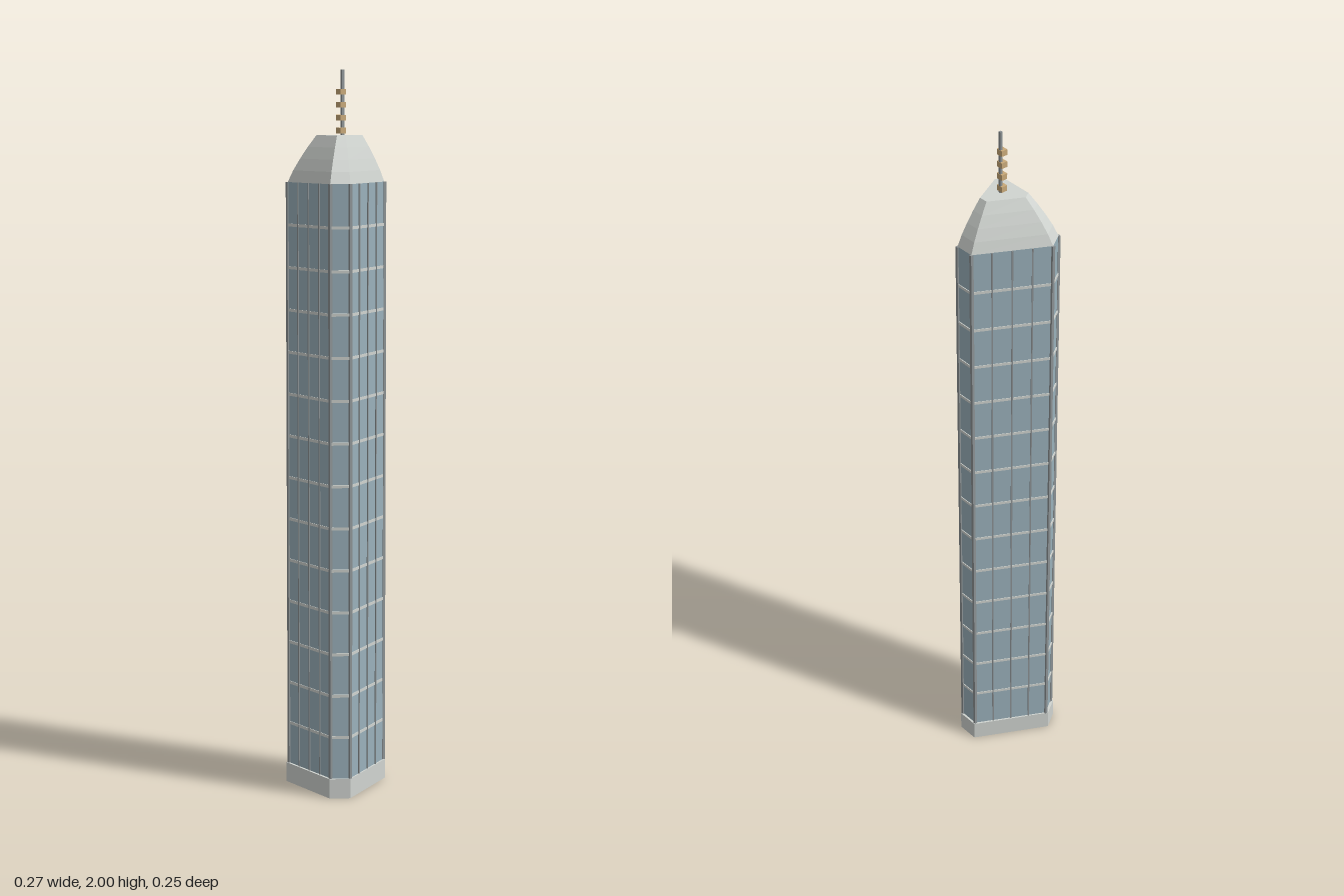
import * as THREE from 'three';

const mat = (name, color, flatShading = true) => new THREE.MeshStandardMaterial({ name, color, flatShading });

// Half-plan mirrored into a triangle with clipped corners, counter-clockwise from above
const plan = (half) => [[-half[0][0], half[0][1]], ...half, ...half.slice(1).reverse().map(([x, z]) => [-x, z])];
const scaled = (pts, s) => pts.map(([x, z]) => [x * s, z * s]);

// Closed solid through rings of { y, pts }
function loft(rings) {
  const pos = [];
  const tri = (...v) => v.forEach((p) => pos.push(...p));
  const at = (r, i) => { const [x, z] = r.pts[i % r.pts.length]; return [x, r.y, z]; };
  const n = rings[0].pts.length, last = rings[rings.length - 1];
  for (let i = 0; i < n; i++) {
    for (let k = 0; k < rings.length - 1; k++) {
      const a = at(rings[k], i), b = at(rings[k], i + 1), c = at(rings[k + 1], i + 1), d = at(rings[k + 1], i);
      tri(a, b, c); tri(a, c, d);
    }
    tri([0, last.y, 0], at(last, i), at(last, i + 1));
    tri([0, rings[0].y, 0], at(rings[0], i + 1), at(rings[0], i));
  }
  const g = new THREE.BufferGeometry();
  g.setAttribute('position', new THREE.Float32BufferAttribute(pos, 3));
  g.computeVertexNormals();
  return g;
}

export function createModel() {
  const root = new THREE.Group();
  root.name = 'skyscraper';
  const stone = mat('pale stone', 0xd0d4d0);
  const glass = mat('blue glass', 0x9ab1bb);
  const frame = mat('grey metal', 0x8c9294);
  const brass = mat('tan brass', 0xc8a878);
  const add = (name, geo, material, x = 0, y = 0, z = 0, ry = 0) => {
    const m = new THREE.Mesh(geo, material);
    m.name = name;
    m.position.set(x, y, z);
    m.rotation.y = ry;
    root.add(m);
    return m;
  };

  const basePlan = plan([[0.105, 0.123], [0.136, 0.075], [0.031, -0.125]]);
  const towerPlan = plan([[0.1, 0.116], [0.13, 0.071], [0.028, -0.119]]);
  const roofPlan = plan([[0.048, 0.056], [0.061, 0.036], [0.013, -0.055]]);
  const y0 = 0.055, y1 = 1.695, h = y1 - y0;

  // Plinth and glazed shaft
  add('plinth', loft([{ y: 0, pts: basePlan }, { y: y0, pts: basePlan }]), stone);
  add('glassShaft', loft([{ y: y0, pts: towerPlan }, { y: y1, pts: towerPlan }]), glass);

  // Floor bands
  const bandPlan = scaled(towerPlan, 1.018);
  const band = loft([{ y: -0.004, pts: bandPlan }, { y: 0.004, pts: bandPlan }]);
  for (let i = 1; i < 14; i++) add('floorBand', band, stone, 0, y0 + (h * i) / 14, 0);

  // Corner posts, and mullions dividing each wide side into four bays
  const post = new THREE.BoxGeometry(0.008, h, 0.008);
  const mullion = new THREE.BoxGeometry(0.004, h, 0.006);
  towerPlan.forEach(([x, z], i) => {
    const [bx, bz] = towerPlan[(i + 1) % 6];
    add('cornerPost', post, frame, x, y0 + h / 2, z);
    if (Math.hypot(bx - x, bz - z) < 0.1) return;
    for (const t of [0.25, 0.5, 0.75]) {
      add('mullion', mullion, frame, x + (bx - x) * t, y0 + h / 2, z + (bz - z) * t, Math.atan2(z - bz, bx - x));
    }
  });

  // Gently bowed tapering crown
  const crown = [[0, 0], [0.25, 0.19], [0.5, 0.43], [0.75, 0.7], [1, 1]].map(([v, t]) => ({
    y: y1 + 0.128 * v,
    pts: towerPlan.map(([x, z], i) => [x + (roofPlan[i][0] - x) * t, z + (roofPlan[i][1] - z) * t]),
  }));
  add('crown', loft(crown), stone);

  // Mast with stacked blocks
  add('mast', new THREE.BoxGeometry(0.007, 0.18, 0.007), frame, 0, 1.91, 0.003);
  const block = new THREE.BoxGeometry(0.02, 0.016, 0.018);
  for (let i = 0; i < 4; i++) add('mastBlock', block, brass, 0, 1.835 + i * 0.035, 0.008);
  return root;
}
